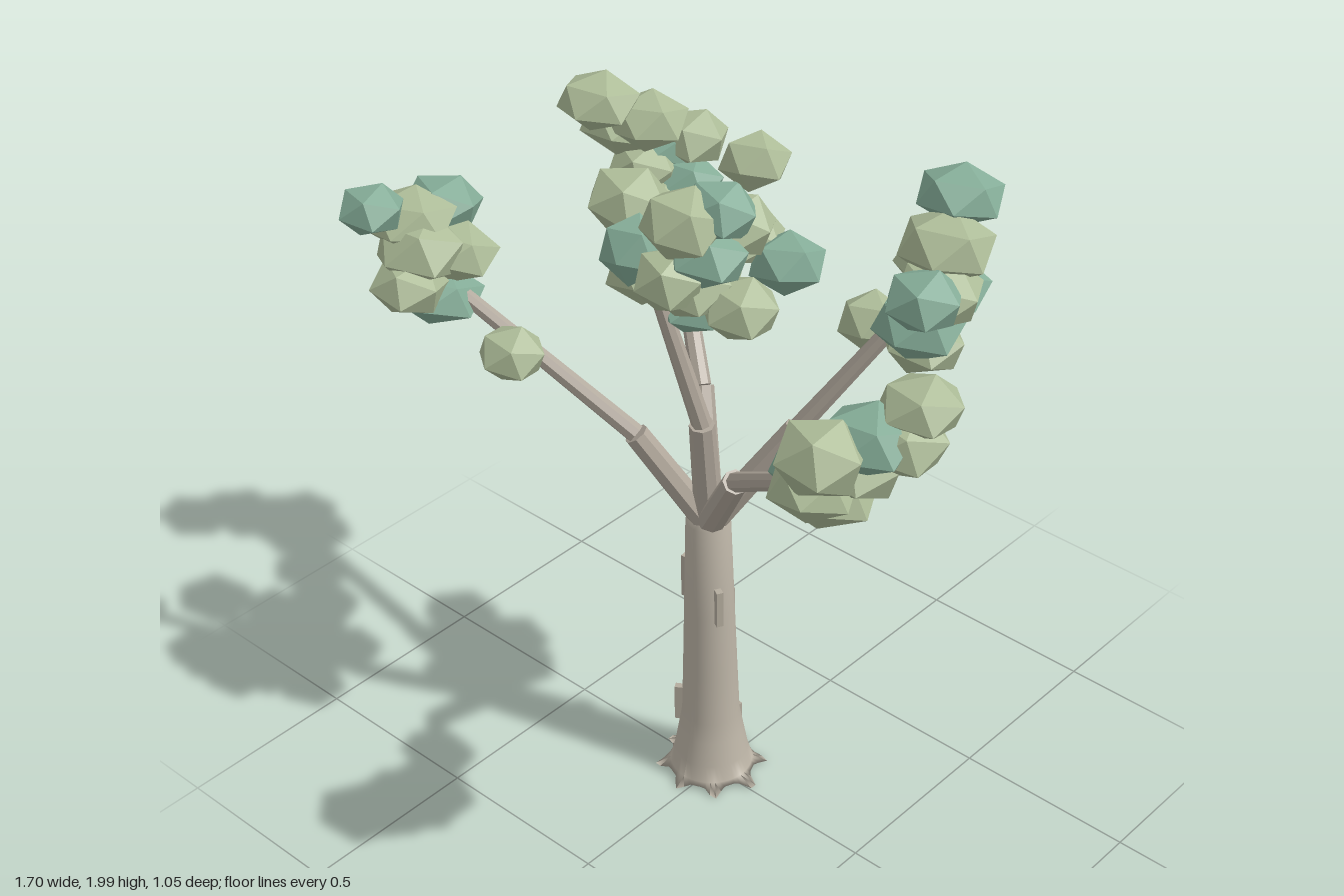
import * as THREE from 'three';

const mat = (color, flatShading) => new THREE.MeshStandardMaterial({ color, flatShading });
const UP = new THREE.Vector3(0, 1, 0);

export function createModel() {
  const tree = new THREE.Group();
  tree.name = 'tree';
  const bark = mat(0xbcb4a6, false);
  const chipBark = mat(0xb4ac9e, true);
  const branchBark = mat(0xb0a79b, true);
  const leafLight = mat(0xadbc98, true);
  const leafDark = mat(0x85ad98, true);

  const add = (parent, name, geometry, material) => {
    const mesh = new THREE.Mesh(geometry, material);
    mesh.name = name;
    parent.add(mesh);
    return mesh;
  };

  // Trunk: slightly leaning lathe whose lowest rings are pulled out into pointed roots
  const profile = [[0, 0.012], [0.118, 0.012], [0.112, 0.025], [0.1, 0.07], [0.088, 0.14],
    [0.078, 0.2], [0.073, 0.35], [0.067, 0.55], [0.059, 0.83], [0, 0.85]];
  const trunkGeo = new THREE.LatheGeometry(profile.map(([r, y]) => new THREE.Vector2(r, y)), 54);
  const p = trunkGeo.attributes.position;
  for (let i = 0; i < p.count; i++) {
    const x = p.getX(i), y = p.getY(i), z = p.getZ(i);
    const a = Math.atan2(z, x);
    const spike = y > 0.02 ? 0 : Math.pow(Math.abs(Math.cos(4 * a)), 6);
    const k = 1 + spike * (0.29 + 0.07 * Math.cos(2 * a + 0.3));
    p.setXYZ(i, x * k - 0.012 * y, y - 0.1 * spike * Math.hypot(x, z), z * k);
  }
  trunkGeo.computeVertexNormals();
  add(tree, 'trunk', trunkGeo, bark).position.set(-0.023, 0, -0.013);

  // Loose bark chips: angle around trunk, height, distance out, length
  const chips = new THREE.Group();
  chips.name = 'barkChips';
  tree.add(chips);
  [[2.6, 0.205, 0.081, 0.11], [3.0, 0.62, 0.069, 0.13], [0.5, 0.595, 0.07, 0.11],
    [-2.25, 0.79, 0.068, 0.09], [-1.5, 0.54, 0.073, 0.05], [-1.35, 0.14, 0.089, 0.05]].forEach(([a, y, r, h]) => {
    const chip = add(chips, 'barkChip', new THREE.BoxGeometry(0.028, h, 0.018), chipBark);
    chip.position.set(-0.03 + r * Math.cos(a), y, -0.013 + r * Math.sin(a));
    chip.rotation.y = -a;
  });

  // Branches: a thick lower limb, then a thinner limb continuing from its end
  const limb = (parent, name, a, b, r0, r1) => {
    const from = new THREE.Vector3(...a), dir = new THREE.Vector3(...b).sub(from);
    const mesh = add(parent, name, new THREE.CylinderGeometry(r1, r0, dir.length(), 8), branchBark);
    mesh.position.copy(from).addScaledVector(dir, 0.5);
    mesh.quaternion.setFromUnitVectors(UP, dir.normalize());
  };
  const root = [-0.028, 0.82, -0.012];
  [
    ['frontLeftBranch', [0.155, 1.095, 0.095], [0.58, 1.39, 0.26]],
    ['backLeftBranch', [0.15, 1.13, -0.14], [0.38, 1.52, -0.3]],
    ['centreBranch', [-0.01, 1.16, 0.035], [-0.09, 1.53, 0.1]],
    ['frontRightBranch', [-0.175, 1.09, 0.1], [-0.6, 1.42, 0.28]],
    ['backRightBranch', [-0.17, 1.12, -0.14], [-0.42, 1.48, -0.31]],
  ].forEach(([name, bend, end]) => {
    const branch = new THREE.Group();
    branch.name = name;
    tree.add(branch);
    limb(branch, 'lowerLimb', root, bend, 0.038, 0.033);
    limb(branch, 'upperLimb', bend, end, 0.026, 0.02);
  });

  // Leaf clumps: squashed low-poly balls, each row holding x, y, z, width, height
  const leafGeo = new THREE.IcosahedronGeometry(1, 0).rotateX(Math.atan(2 / (1 + Math.sqrt(5))));
  const clusters = {
    frontRightLeaves: {
      light: [[-0.68, 1.53, 0.33, 0.125, 0.095], [-0.64, 1.5, 0.24, 0.11, 0.075], [-0.66, 1.46, 0.39, 0.11, 0.075],
        [-0.73, 1.59, 0.31, 0.125, 0.075], [-0.4, 1.33, 0.3, 0.095, 0.068]],
      dark: [[-0.73, 1.665, 0.43, 0.095, 0.065], [-0.66, 1.4, 0.3, 0.125, 0.072],
        [-0.74, 1.58, 0.19, 0.115, 0.075], [-0.7, 1.48, 0.22, 0.11, 0.075]],
    },
    backRightLeaves: {
      light: [[-0.59, 1.76, -0.22, 0.115, 0.071], [-0.46, 1.62, -0.43, 0.11, 0.075], [-0.59, 1.66, -0.31, 0.12, 0.075],
        [-0.37, 1.43, -0.2, 0.12, 0.07], [-0.46, 1.49, -0.3, 0.11, 0.075], [-0.5, 1.7, -0.31, 0.11, 0.075],
        [-0.52, 1.56, -0.31, 0.11, 0.075]],
      dark: [[-0.51, 1.6, -0.39, 0.11, 0.07], [-0.42, 1.53, -0.37, 0.1, 0.07]],
    },
    centreLeaves: {
      light: [[-0.26, 1.695, 0.02, 0.118, 0.087], [0, 1.6, 0.05, 0.115, 0.075], [0.05, 1.68, 0.21, 0.1, 0.08],
        [0.055, 1.81, 0.17, 0.11, 0.093], [0.125, 1.93, 0, 0.09, 0.07], [0.03, 1.67, -0.08, 0.11, 0.075],
        [-0.11, 1.57, -0.15, 0.115, 0.075], [0.18, 1.61, 0.11, 0.105, 0.075], [0.06, 1.65, 0.15, 0.115, 0.085],
        [-0.13, 1.58, 0.1, 0.105, 0.075], [0.1, 1.77, 0.03, 0.105, 0.08]],
      dark: [[-0.11, 1.675, 0.16, 0.09, 0.09], [-0.06, 1.48, 0.01, 0.105, 0.068], [-0.14, 1.63, -0.05, 0.1, 0.075],
        [0.16, 1.64, -0.08, 0.1, 0.075], [0.1, 1.83, 0.09, 0.1, 0.075], [0.1, 1.73, 0.14, 0.11, 0.08]],
    },
    backLeftLeaves: {
      light: [[0.43, 1.68, -0.34, 0.125, 0.085], [0.46, 1.59, -0.28, 0.125, 0.08], [0.24, 1.405, -0.31, 0.09, 0.08],
        [0.39, 1.6, -0.37, 0.12, 0.08], [0.41, 1.42, -0.3, 0.115, 0.08]],
      dark: [[0.39, 1.76, -0.44, 0.115, 0.07], [0.475, 1.61, -0.2, 0.11, 0.075],
        [0.415, 1.49, -0.27, 0.125, 0.09], [0.4, 1.53, -0.4, 0.11, 0.08]],
    },
    frontLeftLeaves: {
      light: [[0.65, 1.55, 0.385, 0.12, 0.095], [0.61, 1.41, 0.31, 0.128, 0.085], [0.755, 1.625, 0.17, 0.11, 0.068],
        [0.74, 1.55, 0.21, 0.115, 0.08], [0.62, 1.45, 0.37, 0.11, 0.075], [0.66, 1.47, 0.26, 0.12, 0.08]],
      dark: [[0.42, 1.295, 0.145, 0.095, 0.09], [0.69, 1.56, 0.27, 0.12, 0.08]],
    },
  };
  let n = 0;
  for (const [name, shades] of Object.entries(clusters)) {
    const cluster = new THREE.Group();
    cluster.name = name;
    tree.add(cluster);
    for (const [shade, clumps] of Object.entries(shades)) {
      for (const [x, y, z, w, h] of clumps) {
        const clump = add(cluster, `${shade}LeafClump`, leafGeo, shade === 'dark' ? leafDark : leafLight);
        clump.position.set(x, y, z);
        clump.scale.set(w, h, w * 0.92);
        clump.rotation.set(0.1 * Math.sin(n * 5.1), 0.5 * Math.sin(n * 2.4), 0.08 * Math.cos(n * 3.7));
        n++;
      }
    }
  }
  return tree;
}
